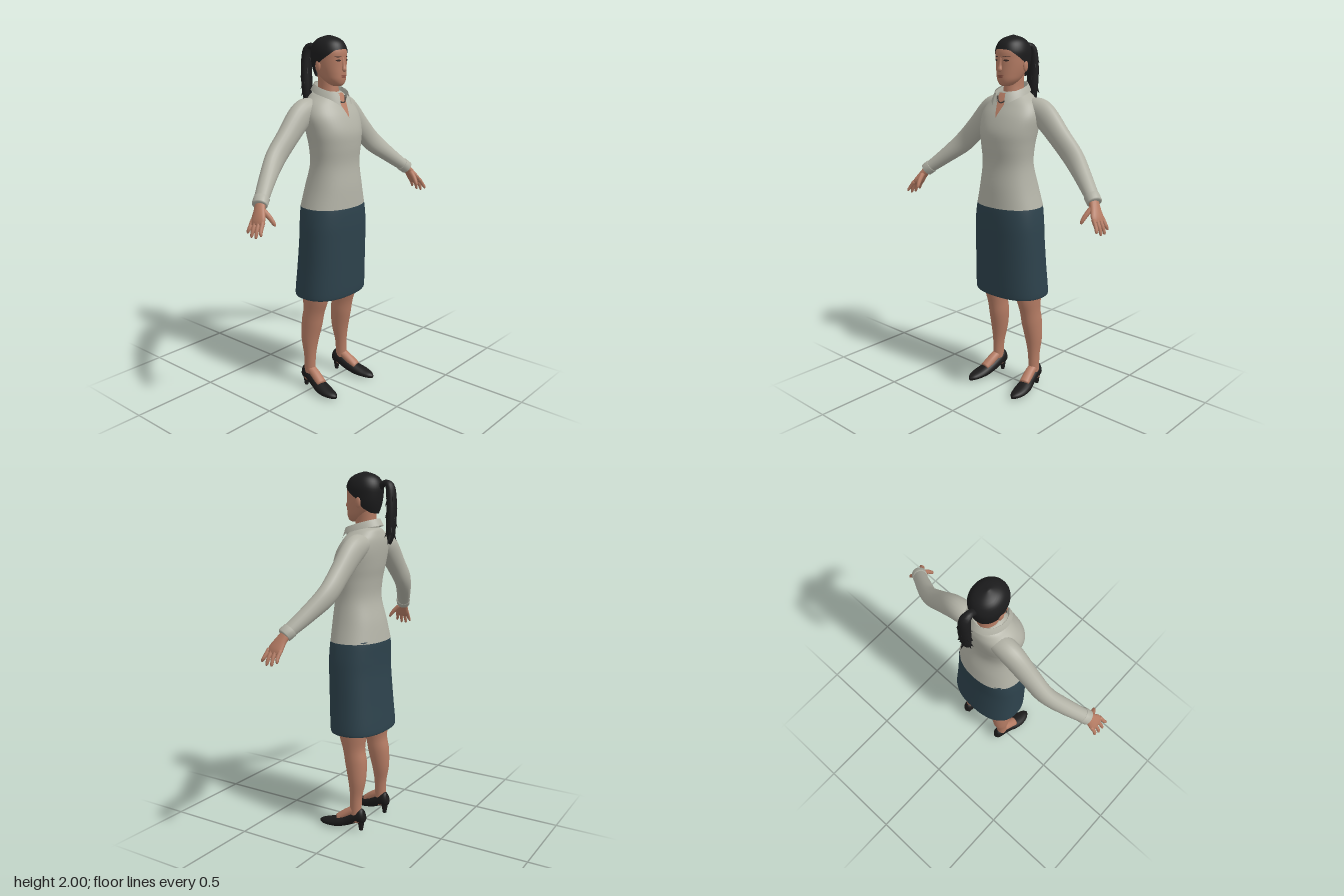
import * as THREE from 'three';

const mat = (name, color, side = THREE.FrontSide) => {
  const m = new THREE.MeshStandardMaterial({ color, side });
  m.name = name;
  return m;
};

// Catmull-Rom refinement of a table of rows, column by column
function smooth(rows, k = 5) {
  const out = [], at = i => rows[Math.min(Math.max(i, 0), rows.length - 1)];
  for (let i = 0; i < rows.length - 1; i++)
    for (let j = 0; j < k; j++) {
      const t = j / k;
      out.push(rows[i].map((b, c) => {
        const a = at(i - 1)[c], d = at(i + 1)[c], e = at(i + 2)[c];
        return b + 0.5 * t * (d - a + t * (2 * a - 5 * b + 4 * d - e + t * (3 * (b - d) + e - a)));
      }));
    }
  out.push(rows[rows.length - 1]);
  return out;
}

// Linear lookup in a table sorted by its first column
function rowAt(rows, v) {
  let i = 0;
  while (i < rows.length - 2 && rows[i + 1][0] < v) i++;
  const t = THREE.MathUtils.clamp((v - rows[i][0]) / (rows[i + 1][0] - rows[i][0]), 0, 1);
  return rows[i].map((a, c) => a + t * (rows[i + 1][c] - a));
}

// Surface through rings of points; s = -1 mirrors it in x
function loft(name, rings, material, { s = 1, closed = true, capA = false, capB = false } = {}) {
  const n = rings[0].length, pos = [], idx = [];
  const tri = (a, b, c) => (s > 0 ? idx.push(a, b, c) : idx.push(a, c, b));
  rings.forEach(r => r.forEach(p => pos.push(p[0] * s, p[1], p[2])));
  for (let i = 0; i < rings.length - 1; i++)
    for (let j = 0; j < (closed ? n : n - 1); j++) {
      const a = i * n + j, b = i * n + (j + 1) % n;
      tri(a, b, b + n);
      tri(a, b + n, a + n);
    }
  const cap = (i, end) => {
    const mid = [0, 1, 2].map(c => rings[i].reduce((q, p) => q + p[c], 0) / n);
    const m = pos.length / 3;
    pos.push(mid[0] * s, mid[1], mid[2]);
    for (let j = 0; j < n; j++) {
      const a = i * n + j, b = i * n + (j + 1) % n;
      end ? tri(a, b, m) : tri(b, a, m);
    }
  };
  if (capA) cap(0, false);
  if (capB) cap(rings.length - 1, true);
  const g = new THREE.BufferGeometry();
  g.setAttribute('position', new THREE.Float32BufferAttribute(pos, 3));
  g.setIndex(idx);
  g.computeVertexNormals();
  const mesh = new THREE.Mesh(g, material);
  mesh.name = name;
  return mesh;
}

// Horizontal superellipse point for a row [y, half width, z front, z back]
function around([y, w, zf, zb], t, p = 2) {
  const f = v => Math.sign(v) * Math.abs(v) ** (2 / p);
  return [w * f(Math.sin(t)), y, (zf + zb) / 2 + (zf - zb) / 2 * f(Math.cos(t))];
}
const angles = n => Array.from({ length: n }, (_, j) => j / n * Math.PI * 2);
const rounds = (rows, p, n = 40) => rows.map(r => angles(n).map(t => around(r, t, p)));

// Elliptical rings along a path of rows [x, y, z, radius across, radius along ref]
function limb(rows, ref, n = 16) {
  const P = rows.map(r => new THREE.Vector3(r[0], r[1], r[2]));
  return rows.map((r, i) => {
    const T = P[Math.min(i + 1, P.length - 1)].clone().sub(P[Math.max(i - 1, 0)]).normalize();
    const v = ref.clone().addScaledVector(T, -T.dot(ref)).normalize();
    const u = v.clone().cross(T);
    return angles(n).map(t => P[i].clone().addScaledVector(u, r[3] * Math.cos(t)).addScaledVector(v, r[4] * Math.sin(t)).toArray());
  });
}

// Front z of a body surface at x, y
function frontZ(rows, x, y, p) {
  const [, w, zf, zb] = rowAt(rows, y);
  return (zf + zb) / 2 + (zf - zb) / 2 * Math.max(0, 1 - Math.abs(x / w) ** p) ** (1 / p);
}

// Thin plate lying on a surface, spans are [y, x0, x1]
function decal(name, rows, p, spans, material, lift = 0.003) {
  const rings = spans.map(([y, a, b]) => Array.from({ length: 9 }, (_, j) => {
    const x = a + (b - a) * j / 8;
    return [x, y, frontZ(rows, x, y, p) + lift];
  }));
  return loft(name, rings, material, { closed: false });
}
const oval = (cx, cy, rx, ry) => Array.from({ length: 9 }, (_, i) => {
  const a = (i / 8 - 0.5) * Math.PI, h = Math.max(rx * Math.cos(a), 1e-4);
  return [cy + ry * Math.sin(a), cx - h, cx + h];
});

export function createModel() {
  const model = new THREE.Group();
  model.name = 'woman';
  const add = (...m) => model.add(...m);
  const skin = mat('skin', 0xb57c64), shirt = mat('shirt', 0xb2b2a6, THREE.DoubleSide);
  const skirt = mat('skirt', 0x2d424c, THREE.DoubleSide), hair = mat('hair', 0x1c1c1d, THREE.DoubleSide);
  const shoe = mat('shoe', 0x1b1a1a), lip = mat('lips', 0x8f5546), eye = mat('eyes', 0x3a2a26);
  const metal = mat('necklace', 0x4a4440);
  const X = new THREE.Vector3(1, 0, 0), Y = new THREE.Vector3(0, 1, 0), Z = new THREE.Vector3(0, 0, 1);
  const both = { capA: true, capB: true };

  // Shirt body
  const torso = smooth([
    [1.09, 0.197, 0.175, -0.124], [1.2, 0.169, 0.169, -0.105], [1.32, 0.15, 0.157, -0.075],
    [1.42, 0.157, 0.164, -0.08], [1.5, 0.17, 0.163, -0.095], [1.58, 0.178, 0.135, -0.106],
    [1.64, 0.155, 0.1, -0.108], [1.68, 0.112, 0.075, -0.1], [1.7, 0.085, 0.06, -0.09], [1.71, 0.055, 0.05, -0.07]]);
  add(loft('shirtBody', rounds(torso, 2.2, 48), shirt, { capB: true }));

  // Skirt, open underneath
  add(loft('skirt', rounds(smooth([
    [0.58, 0.212, 0.153, -0.136], [0.59, 0.222, 0.163, -0.146], [0.75, 0.215, 0.169, -0.132], [0.9, 0.21, 0.173, -0.12],
    [1.0, 0.205, 0.175, -0.119], [1.09, 0.192, 0.171, -0.12], [1.12, 0.178, 0.16, -0.11]]), 2.4, 48), skirt));

  // Neck, open neckline and necklace
  add(loft('neck', rounds(smooth([
    [1.62, 0.06, 0.06, -0.07], [1.7, 0.053, 0.055, -0.068], [1.75, 0.05, 0.05, -0.066], [1.82, 0.052, 0.05, -0.07]])), skin));
  add(decal('neckline', torso, 2.2, Array.from({ length: 13 }, (_, i) => {
    const w = 0.0005 + 0.045 * i / 12;
    return [1.575 + 0.125 * i / 12, -w, w];
  }), skin, 0.004));
  const chain = new THREE.CatmullRomCurve3(Array.from({ length: 11 }, (_, i) => {
    const x = (i / 5 - 1) * 0.042, y = 1.652 + 18 * x * x;
    return new THREE.Vector3(x, y, frontZ(torso, x, y, 2.2) + 0.007);
  }));
  const necklace = new THREE.Mesh(new THREE.TubeGeometry(chain, 30, 0.004, 6), metal);
  necklace.name = 'necklace';
  add(necklace);

  // Folded collar, longer at the front points
  const collar = [[0.95, 0.05, 0], [1, 0.006, 0], [1.04, 0, 0], [1.24, 0.036, 0.045]].map(([k, drop, tip]) =>
    Array.from({ length: 49 }, (_, i) => {
      const t = 0.45 + (Math.PI * 2 - 0.9) * i / 48, f = (1 + Math.cos(t)) / 2;
      return [0.077 * k * Math.sin(t), 1.755 - 0.055 * f - drop - tip * f ** 8, 0.012 + 0.096 * k * Math.cos(t)];
    }));
  add(loft('collar', collar, shirt, { closed: false }));

  // Head and face
  const head = smooth([
    [1.737, 0.018, 0.078, 0.03], [1.747, 0.038, 0.092, 0], [1.77, 0.057, 0.099, -0.03], [1.8, 0.068, 0.1, -0.06],
    [1.84, 0.077, 0.099, -0.08], [1.88, 0.081, 0.099, -0.088], [1.92, 0.082, 0.097, -0.09],
    [1.96, 0.068, 0.078, -0.078], [1.985, 0.04, 0.042, -0.048]]);
  add(loft('head', rounds(head, 2.1), skin, both));
  add(loft('nose', limb(smooth([
    [0, 1.816, 0.1, 0.006, 0.006], [0, 1.824, 0.105, 0.014, 0.012], [0, 1.845, 0.101, 0.009, 0.009],
    [0, 1.885, 0.094, 0.007, 0.007]]), Z, 12), skin, both));
  add(decal('upperLip', head, 2.1, oval(0, 1.793, 0.023, 0.004), lip, 0.004));
  add(decal('lowerLip', head, 2.1, oval(0, 1.785, 0.019, 0.004), lip, 0.005));

  // Hair cap with a hairline that drops behind the ears
  const hairRows = smooth([
    [1.76, 0.045, 0.05, -0.07], [1.8, 0.07, 0.09, -0.088], [1.84, 0.083, 0.1, -0.099], [1.88, 0.088, 0.104, -0.105],
    [1.92, 0.089, 0.102, -0.106], [1.96, 0.075, 0.085, -0.09], [1.985, 0.048, 0.052, -0.058], [2.0, 0.004, 0.004, -0.01]]);
  const hairline = [[0, 1.93], [0.6, 1.925], [1.2, 1.885], [1.55, 1.86], [1.9, 1.81], [2.4, 1.785], [Math.PI, 1.78]];
  add(loft('hairCap', Array.from({ length: 19 }, (_, i) => angles(48).map(t => {
    const low = rowAt(hairline, Math.min(t, Math.PI * 2 - t))[1];
    return around(rowAt(hairRows, low + (2 - low) * Math.sin(i / 18 * Math.PI / 2)), t, 2.05);
  })), hair, { capB: true }));

  // Ponytail with ragged tufts
  const tail = smooth([
    [0, 1.915, -0.09, 0.018, 0.02], [0, 1.94, -0.128, 0.017, 0.02], [0, 1.915, -0.158, 0.024, 0.03],
    [0, 1.82, -0.166, 0.026, 0.036], [0, 1.72, -0.163, 0.025, 0.034], [0, 1.66, -0.16, 0.018, 0.026], [0, 1.622, -0.158, 0.006, 0.008]]);
  add(loft('ponytail', limb(tail, X, 14), hair, both));
  for (let i = 0; i < 20; i++) {
    const a = i * 2.4, y = 1.9 - i * 0.0125;
    const dir = new THREE.Vector3(Math.sin(a) * 0.5, -1, Math.cos(a) * 0.5).normalize();
    const tuft = new THREE.Mesh(new THREE.ConeGeometry(0.011, 0.055, 5), hair);
    tuft.name = 'ponytailTuft';
    tuft.position.set(Math.sin(a) * 0.03, y - 0.02, -0.164 + Math.cos(a) * 0.021);
    tuft.quaternion.setFromUnitVectors(Y, dir);
    add(tuft);
  }

  // Paired parts
  for (const s of [1, -1]) {
    const side = s > 0 ? 'left' : 'right', o = { s, ...both };
    add(decal(side + 'Eye', head, 2.1, oval(s * 0.034, 1.872, 0.014, 0.0045), eye));
    add(decal(side + 'Brow', head, 2.1, oval(s * 0.035, 1.891, 0.019, 0.0025), eye));
    const ear = new THREE.Mesh(new THREE.SphereGeometry(1, 12, 10), skin);
    ear.name = side + 'Ear';
    ear.scale.set(0.009, 0.03, 0.017);
    ear.position.set(s * 0.082, 1.842, -0.008);
    add(ear);

    // Sleeve and cuff
    add(loft(side + 'Sleeve', limb(smooth([
      [0.08, 1.625, -0.035, 0.045, 0.055], [0.14, 1.612, -0.037, 0.068, 0.058], [0.2, 1.578, -0.036, 0.073, 0.056],
      [0.3, 1.483, -0.03, 0.064, 0.05], [0.4, 1.388, -0.02, 0.06, 0.046], [0.5, 1.303, 0.025, 0.046, 0.043],
      [0.615, 1.208, 0.088, 0.032, 0.037]]), Z, 20), shirt, o));
    add(loft(side + 'Cuff', limb([
      [0.586, 1.232, 0.073, 0.034, 0.038], [0.588, 1.23, 0.074, 0.039, 0.042],
      [0.616, 1.207, 0.089, 0.038, 0.041], [0.618, 1.205, 0.09, 0.03, 0.034]], Z, 20), shirt, o));

    // Hand
    add(loft(side + 'Palm', limb(smooth([
      [0.605, 1.215, 0.084, 0.023, 0.028], [0.63, 1.18, 0.1, 0.02, 0.034], [0.655, 1.14, 0.115, 0.017, 0.045],
      [0.668, 1.118, 0.12, 0.011, 0.04]]), Z), skin, o));
    for (let i = 0; i < 4; i++) {
      const d = (i - 1.5) * 0.024, short = Math.abs(i - 1.5) > 1 ? 0.015 : 0;
      add(loft(side + 'Finger', limb(smooth([
        [0.658, 1.138, 0.118 + d, 0.011, 0.011], [0.683, 1.102, 0.124 + d * 1.1, 0.01, 0.01],
        [0.695 - short * 0.3, 1.072 + short, 0.126 + d * 1.25, 0.008, 0.008],
        [0.697 - short * 0.3, 1.062 + short, 0.127 + d * 1.3, 0.004, 0.004]], 3), Z, 8), skin, o));
    }
    add(loft(side + 'Thumb', limb(smooth([
      [0.622, 1.185, 0.115, 0.015, 0.015], [0.612, 1.155, 0.148, 0.013, 0.013], [0.604, 1.125, 0.17, 0.01, 0.01],
      [0.601, 1.11, 0.178, 0.004, 0.004]], 3), Z, 8), skin, o));

    // Leg and foot
    add(loft(side + 'Leg', limb(smooth([
      [0.14, 0.05, -0.03, 0.028, 0.036], [0.14, 0.1, -0.026, 0.029, 0.034], [0.138, 0.2, -0.027, 0.033, 0.036],
      [0.133, 0.3, -0.03, 0.047, 0.052], [0.127, 0.4, -0.02, 0.054, 0.064], [0.125, 0.48, -0.006, 0.054, 0.066],
      [0.122, 0.58, 0.004, 0.062, 0.087], [0.115, 0.72, 0.01, 0.07, 0.09]]), Z, 24), skin, o));
    add(loft(side + 'Foot', limb(smooth([
      [0.14, 0.125, -0.03, 0.026, 0.024], [0.146, 0.092, 0.025, 0.029, 0.026], [0.156, 0.056, 0.08, 0.03, 0.022]]), Y), skin, o));

    // Heeled shoe
    add(loft(side + 'Shoe', limb(smooth([
      [0.135, 0.096, -0.08, 0.016, 0.03], [0.136, 0.09, -0.062, 0.03, 0.044], [0.14, 0.073, -0.02, 0.034, 0.036],
      [0.147, 0.05, 0.03, 0.037, 0.034], [0.158, 0.034, 0.08, 0.044, 0.031], [0.165, 0.025, 0.13, 0.042, 0.024],
      [0.167, 0.019, 0.175, 0.028, 0.017], [0.168, 0.014, 0.198, 0.008, 0.009]]), Y, 20), shoe, o));
    const heel = new THREE.Mesh(new THREE.CylinderGeometry(0.023, 0.011, 0.075, 12), shoe);
    heel.name = side + 'Heel';
    heel.position.set(s * 0.136, 0.0375, -0.058);
    add(heel);
  }
  return model;
}
